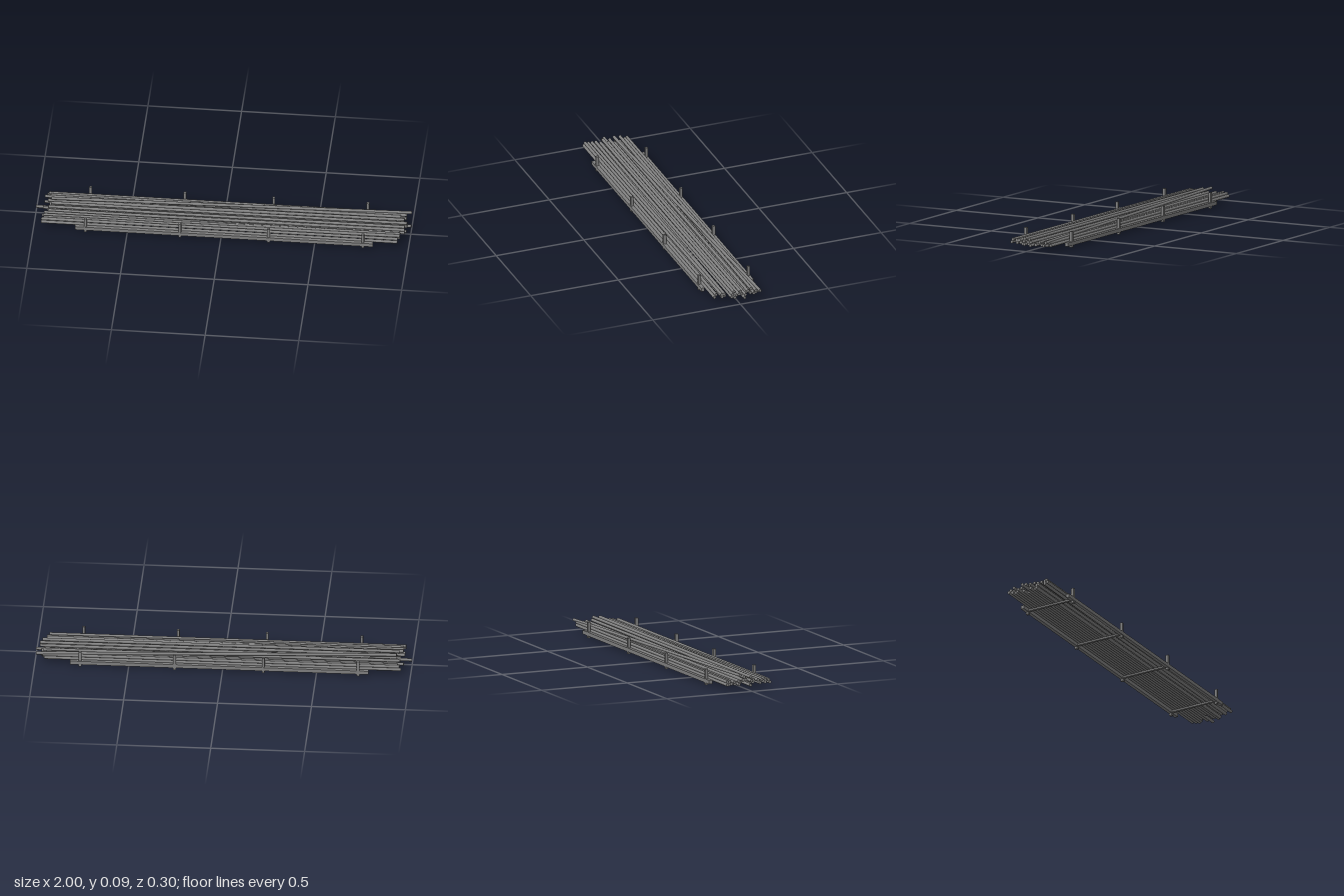
import * as THREE from 'three';

const material = new THREE.MeshStandardMaterial({ color: 0x808080 });
const RADIUS = 0.008;

function box(name, w, h, d, x, y, z) {
  const mesh = new THREE.Mesh(new THREE.BoxGeometry(w, h, d), material);
  mesh.name = name;
  mesh.position.set(x, y, z);
  return mesh;
}

// A straight round pole between two points
function pole(a, b) {
  const dir = b.clone().sub(a);
  const mesh = new THREE.Mesh(new THREE.CylinderGeometry(RADIUS, RADIUS, dir.length(), 14), material);
  mesh.name = 'pole';
  mesh.position.copy(a).add(b).multiplyScalar(0.5);
  mesh.quaternion.setFromUnitVectors(new THREE.Vector3(0, 1, 0), dir.normalize());
  return mesh;
}

export function createModel() {
  const model = new THREE.Group();

  // Rack: two long rails, four cross beams and four pairs of posts
  const rack = new THREE.Group();
  rack.name = 'rack';
  for (const side of [1, -1]) {
    rack.add(box('sideRail', 1.59, 0.02, 0.019, 0.017, 0.0225, side * 0.14));
  }
  for (const x of [-0.722, -0.218, 0.255, 0.758]) {
    rack.add(box('crossBeam', 0.014, 0.009, 0.27, x, 0.022, 0));
    for (const side of [1, -1]) {
      rack.add(box('post', 0.014, 0.086, 0.015, x, 0.043, side * 0.14));
    }
  }
  model.add(rack);

  // Pole layers: [z at left end, z at right end, shift along x]
  const layers = [
    { y: 0.0345, poles: [
      [0.123, 0.123, -0.01], [0.1, 0.083, 0], [0.066, 0.066, -0.01],
      [0.037, 0.037, 0.02], [0.023, 0.023, 0.03], [0.007, 0.007, 0.01],
      [-0.009, -0.009, -0.05], [-0.025, -0.025, 0.05], [-0.041, -0.041, 0.02],
      [-0.057, -0.057, -0.01], [-0.073, -0.073, 0.01], [-0.089, -0.089, 0.02],
      [-0.105, -0.105, 0.01], [-0.121, -0.121, 0],
    ] },
    { y: 0.049, poles: [
      [0.115, 0.115, -0.01], [0.1, 0.087, 0], [0.08, 0.073, 0],
      [0.058, 0.071, 0], [0.038, 0.032, 0.02], [0.016, 0.016, -0.01],
      [0, 0, 0.03], [-0.016, -0.016, 0.03], [-0.05, -0.059, 0.01],
      [-0.084, -0.084, -0.01], [-0.1, -0.1, 0.02], [-0.116, -0.116, 0.01],
    ] },
    { y: 0.064, poles: [[0.025, 0.025, 0.02], [-0.009, -0.009, 0.03]] },
  ];
  const stack = new THREE.Group();
  stack.name = 'poleStack';
  for (const { y, poles } of layers) {
    for (const [zLeft, zRight, shift] of poles) {
      stack.add(pole(
        new THREE.Vector3(shift - 0.95, y, zLeft),
        new THREE.Vector3(shift + 0.95, y, zRight),
      ));
    }
  }

  // Loose pole lying diagonally across the top
  const loose = pole(new THREE.Vector3(-0.92, 0.075, -0.034), new THREE.Vector3(0.995, 0.056, -0.116));
  loose.name = 'loosePole';
  stack.add(loose);
  model.add(stack);

  return model;
}
